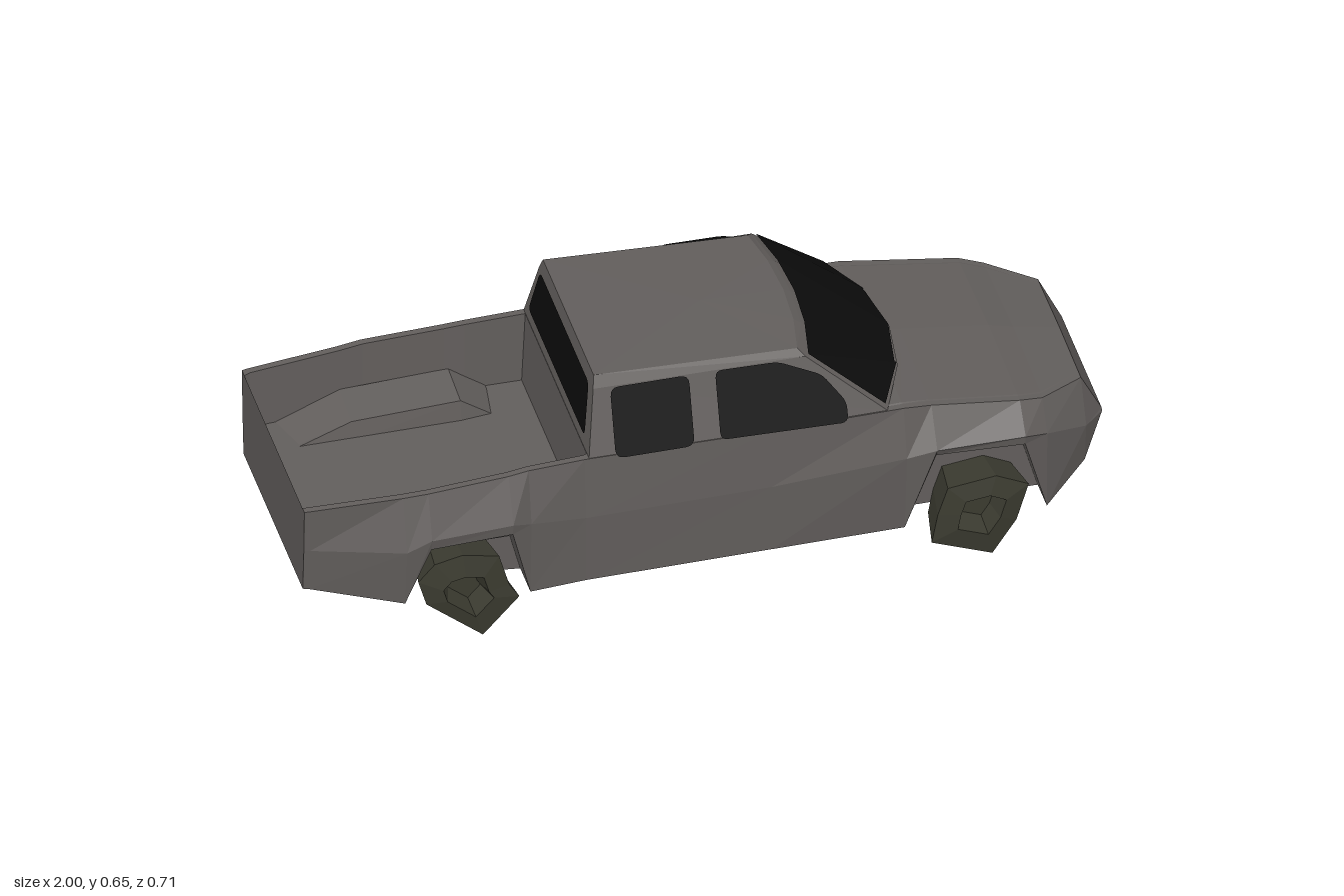
import * as THREE from 'three';

const paint = new THREE.MeshStandardMaterial({ color: 0x625e5c });
paint.name = 'greyPaint';
const glass = new THREE.MeshStandardMaterial({ color: 0x0c0c0c, side: THREE.DoubleSide });
glass.name = 'blackGlass';
const rubber = new THREE.MeshStandardMaterial({ color: 0x3b3b30 });
rubber.name = 'darkRubber';

// Faceted geometry from a list of triangles
function faceted(tris) {
  const geo = new THREE.BufferGeometry();
  geo.setAttribute('position', new THREE.Float32BufferAttribute(tris.flat(2), 3));
  geo.computeVertexNormals();
  return geo;
}

// Skin a stack of closed rings and cap both ends
function loft(rings) {
  const tris = [];
  const n = rings[0].length;
  const mean = r => [0, 1, 2].map(k => r.reduce((s, p) => s + p[k], 0) / n);
  for (let j = 0; j < rings.length - 1; j++) {
    const a = rings[j], b = rings[j + 1];
    for (let i = 0; i < n; i++) {
      const k = (i + 1) % n;
      tris.push([a[i], b[i], b[k]], [a[i], b[k], a[k]]);
    }
  }
  const first = rings[0], last = rings[rings.length - 1];
  for (let i = 0; i < n; i++) {
    const k = (i + 1) % n;
    tris.push([mean(first), first[i], first[k]], [mean(last), last[k], last[i]]);
  }
  return faceted(tris);
}

// Complete a half ring (first and last points on the centre line)
const mirrorRing = half => [...half, ...half.slice(1, -1).reverse().map(([x, y, z]) => [x, y, -z])];

const lerp = (a, b, t) => a.map((v, i) => v + (b[i] - v) * t);

// Rounded polygon in the plane, placed on a body face by the map fn
function pane(points, r, map) {
  const pts = points.map(p => new THREE.Vector2(...p));
  const shape = new THREE.Shape();
  pts.forEach((p, i) => {
    const before = pts[(i + pts.length - 1) % pts.length], after = pts[(i + 1) % pts.length];
    const a = p.clone().add(before.clone().sub(p).setLength(r));
    const b = p.clone().add(after.clone().sub(p).setLength(r));
    if (i) shape.lineTo(a.x, a.y); else shape.moveTo(a.x, a.y);
    shape.quadraticCurveTo(p.x, p.y, b.x, b.y);
  });
  const geo = new THREE.ShapeGeometry(shape, 4).toNonIndexed();
  const pos = geo.attributes.position;
  for (let i = 0; i < pos.count; i++) pos.setXYZ(i, ...map(pos.getX(i), pos.getY(i)));
  geo.computeVertexNormals();
  return geo;
}

export function createModel() {
  const truck = new THREE.Group();
  truck.name = 'pickupTruck';
  const add = (name, geo, mat) => {
    const mesh = new THREE.Mesh(geo, mat);
    mesh.name = name;
    truck.add(mesh);
  };

  // Lower body: x, underside y, sill z, arch y, waist y, waist z, top y, top z, inner floor y, centre y
  const stations = [
    [-1.0, .19, .275, .19, .31, .285, .43, .29, .43, .43],
    [-.985, .188, .278, .188, .31, .288, .431, .292, .27, .27],
    [-.76, .135, .325, .135, .30, .345, .44, .31, .27, .27],
    [-.70, .13, .345, .30, .33, .352, .445, .315, .27, .27],
    [-.50, .115, .35, .31, .34, .355, .455, .31, .27, .27],
    [-.45, .11, .325, .11, .32, .335, .46, .307, .27, .27],
    [-.31, .11, .315, .11, .30, .32, .465, .305, .27, .27],
    [-.30, .11, .315, .11, .30, .32, .465, .305, .465, .465],
    [.15, .11, .312, .11, .30, .316, .46, .305, .46, .46],
    [.48, .11, .31, .11, .33, .33, .46, .30, .462, .475],
    [.55, .11, .34, .335, .355, .35, .452, .295, .453, .464],
    [.77, .11, .34, .325, .35, .345, .42, .29, .421, .432],
    [.83, .11, .315, .11, .33, .32, .405, .275, .406, .416],
    [.945, .168, .235, .168, .28, .25, .388, .20, .388, .392],
    [1.0, .265, .185, .265, .27, .19, .276, .185, .276, .276],
  ];
  add('body', loft(stations.map(([x, yb, zb, ya, ym, zm, yt, zt, yf, yc]) => {
    const inner = Math.min(.23, zb - .01);
    return mirrorRing([
      [x, yb, 0], [x, yb, inner], [x, ya, inner], [x, ya, zb], [x, ym, zm],
      [x, yt, zt], [x, yt, zt - .018], [x, yf, zt - .022], [x, yc, 0],
    ]);
  })), paint);

  // Cab: half rings from front centre to rear centre
  const base = [[.525, .475, 0], [.505, .474, .15], [.44, .462, .30], [-.30, .46, .305], [-.30, .46, 0]];
  const belt = [[.28, .63, 0], [.272, .63, .125], [.25, .625, .25], [-.275, .63, .25], [-.275, .63, 0]];
  const roof = [[.262, .64, 0], [.255, .64, .12], [.235, .638, .23], [-.27, .66, .235], [-.27, .66, 0]];
  add('cab', loft([base, belt, roof].map(mirrorRing)), paint);

  // Windscreen follows the bowed front of the cab
  const screen = [];
  const lift = ([x, y, z]) => [x + .004, y + .005, z];
  for (const s of [1, -1]) {
    const side = ([x, y, z]) => [x, y, z * s];
    for (const [i, end] of [[0, 1], [1, .95]]) {
      const lo = lerp(base[i], base[i + 1], end), hi = lerp(belt[i], belt[i + 1], end);
      const [a, b, c, d] = [
        lerp(base[i], belt[i], .03), lerp(lo, hi, .05), lerp(lo, hi, .98), lerp(base[i], belt[i], .98),
      ].map(lift).map(side);
      screen.push(...(s > 0 ? [[a, c, b], [a, d, c]] : [[a, b, c], [a, c, d]]));
    }
  }
  add('windscreen', faceted(screen), glass);

  // Side and rear windows
  const rearDoor = [[-.235, .458], [-.04, .458], [-.04, .63], [-.235, .63]];
  const frontDoor = [[.025, .462], [.34, .455], [.34, .505], [.285, .58], [.18, .627], [.025, .63]];
  for (const s of [1, -1]) {
    const onSide = (x, y) => [x, y, s * (.311 - (y - .46) * .3235)];
    const label = s > 0 ? 'left' : 'right';
    add(label + 'RearDoorWindow', pane(rearDoor, .022, onSide), glass);
    add(label + 'FrontDoorWindow', pane(frontDoor, .018, onSide), glass);
  }
  add('rearWindow', pane([[-.26, .50], [.26, .50], [.225, .632], [-.225, .632]], .02,
    (z, y) => [-.305 + (y - .46) * .147, y, z]), glass);

  // Wheel boxes rising from the bed floor: x, height of the top
  for (const s of [1, -1]) {
    const rings = [[-.92, .272], [-.76, .325], [-.49, .335], [-.40, .272]].map(([x, h]) => {
      const ring = [[x, .26, .165 * s], [x, .26, .29 * s], [x, h, .29 * s], [x, h - .012, .175 * s]];
      return s > 0 ? ring : ring.reverse();
    });
    add(s > 0 ? 'leftWheelBox' : 'rightWheelBox', loft(rings), paint);
  }

  // Rough, angular wheels with a sunken hub
  const outlines = {
    Front: [[.54, .07], [.555, .15], [.58, .225], [.70, .24], [.78, .20], [.75, .10], [.69, .01]],
    Rear: [[-.71, .13], [-.73, .20], [-.69, .245], [-.62, .26], [-.53, .24], [-.505, .15], [-.48, .11], [-.57, .012]],
  };
  for (const [place, outline] of Object.entries(outlines)) {
    const cx = place === 'Front' ? .665 : -.61, cy = .14;
    for (const s of [1, -1]) {
      const rings = [[.85, .23], [1, .335], [.5, .345], [.35, .29]].map(([k, z]) =>
        outline.map(([x, y]) => [cx + (x - cx) * k, cy + (y - cy) * k, z * s]));
      if (s < 0) rings.reverse();
      add((s > 0 ? 'left' : 'right') + place + 'Wheel', loft(rings), rubber);
    }
  }
  return truck;
}
